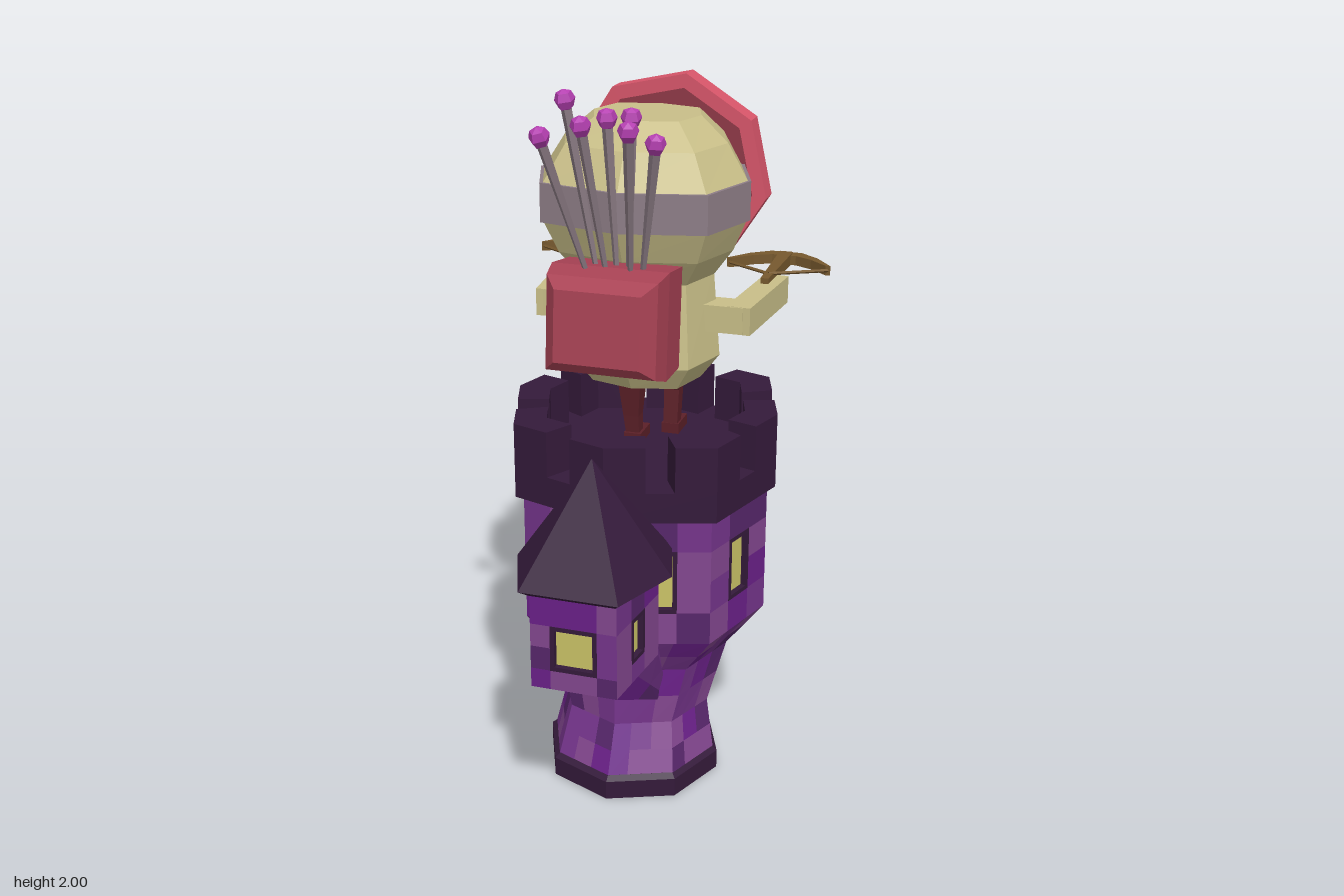
import * as THREE from 'three';

const V = (x, y, z) => new THREE.Vector3(x, y, z);
const mat = (color) => new THREE.MeshStandardMaterial({ color, flatShading: true, side: THREE.DoubleSide });
const DARK = mat(0x341a3a), CREAM = mat(0xc8be88), BAND = mat(0x8d7d86), RED = mat(0xa84254);
const PINK = mat(0xd8566a), MAROON = mat(0x8f3947), LEG = mat(0x5c2028), WOOD = mat(0x76582e);
const PANE = mat(0xc9c266), TIP = mat(0xb640b2);
const STONES = [0x6a2088, 0x82468e, 0x56266a, 0x74348a].map(mat);
const X0 = 0.006, TZ = -0.09, SQ = Math.SQRT2;

let seed = 11;
const rand = () => (seed = (seed * 16807) % 2147483647) / 2147483647;

function add(parent, name, geometry, material, x = 0, y = 0, z = 0) {
  const m = new THREE.Mesh(geometry, material);
  m.name = name;
  m.position.set(x, y, z);
  parent.add(m);
  return m;
}

// Horizontal polygon; "diag" pushes every second corner outwards
function ring(n, y, rx, rz = rx, zc = 0, xc = 0, phase = 0, diag = 1) {
  return Array.from({ length: n }, (_, i) => {
    const a = phase + (i * 2 * Math.PI) / n, k = i % 2 ? diag : 1;
    return V(xc + k * rx * Math.sin(a), y, zc + k * rz * Math.cos(a));
  });
}

function triangles(points) {
  const g = new THREE.BufferGeometry().setFromPoints(points);
  g.computeVertexNormals();
  return g;
}

// Closed solid through a stack of rings
function loft(rings) {
  const p = [], n = rings[0].length, last = rings.length - 1;
  for (let r = 0; r < last; r++) for (let i = 0; i < n; i++) {
    const j = (i + 1) % n, a = rings[r], b = rings[r + 1];
    p.push(a[i], a[j], b[j], a[i], b[j], b[i]);
  }
  for (let i = 1; i < n - 1; i++) {
    p.push(rings[0][0], rings[0][i + 1], rings[0][i]);
    p.push(rings[last][0], rings[last][i], rings[last][i + 1]);
  }
  return triangles(p);
}

// Stone courses between two rings, in mixed shades; hole(face) gives the width of an opening
function stones(parent, name, lower, upper, rows, cols, hole = () => 0) {
  const sets = STONES.map(() => []), n = lower.length;
  for (let f = 0; f < n; f++) {
    const g = (f + 1) % n, half = hole(f) / lower[f].distanceTo(lower[g]) / 2;
    const at = (u, v) => lower[f].clone().lerp(lower[g], u).lerp(upper[f].clone().lerp(upper[g], u), v);
    const us = half ? [0, 0.5 - half, 0.5 + half, 1] : cols;
    for (let r = 0; r < rows.length - 1; r++) for (let c = 0; c < us.length - 1; c++) {
      const shade = Math.floor(rand() * STONES.length);
      if (half && c === 1 && r > 0 && r < rows.length - 2) continue;
      const [a, b, d, e] = [at(us[c], rows[r]), at(us[c + 1], rows[r]), at(us[c + 1], rows[r + 1]), at(us[c], rows[r + 1])];
      sets[shade].push(a, b, d, a, d, e);
    }
  }
  sets.forEach((s, i) => s.length && add(parent, name, triangles(s), STONES[i]));
}

// Recessed window with a dark frame, centred on face f of a ring
function windowAt(parent, corners, f, y, w, h) {
  const a = corners[f], b = corners[(f + 1) % corners.length];
  const g = new THREE.Group(), t = 0.012;
  g.name = 'window';
  for (const s of [-1, 1]) {
    add(g, 'windowFrame', new THREE.BoxGeometry(t, h, 0.03), DARK, s * (w - t) / 2, 0, -0.014);
    add(g, 'windowFrame', new THREE.BoxGeometry(w, t, 0.03), DARK, 0, s * (h - t) / 2, -0.014);
  }
  add(g, 'windowPane', new THREE.BoxGeometry(w, h, 0.01), PANE, 0, 0, -0.02);
  g.position.set((a.x + b.x) / 2, y, (a.z + b.z) / 2);
  g.rotation.y = Math.atan2(a.z - b.z, b.x - a.x);
  parent.add(g);
}

function buildTower(root) {
  const t = new THREE.Group();
  t.name = 'tower';
  root.add(t);
  const oct = (y, r, z, diag = 1) => ring(8, y, r, r, z, X0, 0, diag);
  add(t, 'plinth', loft([oct(0, 0.255, 0.026), oct(0.055, 0.255, 0.026), oct(0.067, 0.24, 0.024)]), DARK);
  const rings = [oct(0.06, 0.243, 0.024), oct(0.2, 0.213, -0.01), oct(0.37, 0.255, -0.058, 1.04),
    oct(0.49, 0.354, TZ, 1.07), oct(0.87, 0.354, TZ, 1.07)];
  for (let i = 0; i < 3; i++) stones(t, 'towerStem', rings[i], rings[i + 1], [0, 0.5, 1], [0, 0.3, 0.65, 1]);
  stones(t, 'towerWall', rings[3], rings[4], [0, 0.25, 0.5, 0.735, 1], null, () => 0.099);
  for (let i = 0; i < 8; i++) windowAt(t, rings[3], i, 0.677, 0.099, 0.186);

  // Battlement: solid collar with a merlon wrapped round each corner
  add(t, 'collar', loft([oct(0.865, 0.377, TZ, 1.07), oct(0.95, 0.377, TZ, 1.07)]), DARK);
  const outer = oct(0, 0.377, TZ, 1.07), inner = oct(0, 0.285, TZ, 1.07);
  const wrap = (r, i) => [r[i].clone().lerp(r[(i + 7) % 8], 0.37), r[i], r[i].clone().lerp(r[(i + 1) % 8], 0.37)];
  for (let i = 0; i < 8; i++) {
    const plan = [...wrap(outer, i), ...wrap(inner, i).reverse()].map((p) => new THREE.Vector2(p.x, -p.z));
    const geo = new THREE.ExtrudeGeometry(new THREE.Shape(plan), { depth: 0.14, bevelEnabled: false });
    add(t, 'merlon', geo.rotateX(-Math.PI / 2), DARK, 0, 0.94, 0);
  }
}

function buildTurret(root) {
  const t = new THREE.Group();
  t.name = 'turret';
  root.add(t);
  // Six-sided plan from [half width, z] at the front, middle and back
  const hex = (y, front, mid, back) => [[1, front], [1, mid], [1, back], [-1, back], [-1, mid], [-1, front]]
    .map(([s, [x, z]]) => V(X0 + s * x, y, z));
  const foot = hex(0.28, [0.115, 0.165], [0.115, 0.08], [0.08, 0.02]);
  const low = hex(0.49, [0.118, 0.535], [0.15, 0.275], [0.1, 0.12]);
  const high = low.map((p) => V(p.x, 0.77, p.z));
  stones(t, 'turretCorbel', foot, low, [0, 0.5, 1], [0, 0.5, 1]);
  const widths = { 5: 0.128, 0: 0.08, 4: 0.08 };
  stones(t, 'turretWall', low, high, [0, 0.196, 0.43, 0.66, 1], [0, 0.5, 1], (f) => widths[f] || 0);
  for (const f of [0, 4, 5]) windowAt(t, low, f, 0.61, widths[f], 0.13);
  add(t, 'turretRoof', loft([hex(0.76, [0.118, 0.545], [0.185, 0.37], [0.145, 0.22]),
    hex(0.78, [0.134, 0.572], [0.214, 0.37], [0.165, 0.2]), hex(1.085, [0.001, 0.376], [0.001, 0.375], [0.001, 0.374])]), DARK);
}

function buildFigure(root) {
  const f = new THREE.Group();
  f.name = 'figure';
  root.add(f);
  const o = (y, rx, rz, z) => ring(8, y, rx, rz, z, 0, 0, 1.1);
  add(f, 'body', loft([o(1.155, 0.155, 0.15, -0.12), o(1.225, 0.208, 0.193, -0.118), o(1.47, 0.187, 0.165, -0.12)]), CREAM);
  add(f, 'head', loft([o(1.455, 0.19, 0.165, -0.115), o(1.53, 0.245, 0.205, -0.1), o(1.62, 0.284, 0.232, -0.088),
    o(1.72, 0.284, 0.232, -0.088), o(1.815, 0.225, 0.188, -0.1), o(1.88, 0.148, 0.128, -0.115)]), CREAM);
  add(f, 'headBand', loft([o(1.617, 0.292, 0.24, -0.088), o(1.722, 0.292, 0.24, -0.088)]), BAND);

  // Legs, one planted and one kicked back
  const r4 = (x, y, z, r) => ring(4, y, r * SQ, r * SQ, z, x, Math.PI / 4);
  add(f, 'plantedLeg', loft([r4(-0.03, 0.945, -0.105, 0.018), r4(-0.035, 1.03, -0.1, 0.022), r4(-0.036, 1.17, -0.095, 0.036)]), LEG);
  add(f, 'plantedFoot', new THREE.BoxGeometry(0.05, 0.03, 0.09), LEG, -0.03, 0.965, -0.12);
  add(f, 'kickedLeg', loft([r4(0.05, 0.96, -0.2, 0.02), r4(0.05, 1.08, -0.215, 0.022), r4(0.048, 1.17, -0.15, 0.034)]), LEG);
  add(f, 'kickedFoot', new THREE.BoxGeometry(0.05, 0.03, 0.09), LEG, 0.05, 0.965, -0.225);

  // Bent arms, each holding a crossbow
  for (const s of [-1, 1]) {
    add(f, 'upperArm', new THREE.BoxGeometry(0.12, 0.075, 0.08), CREAM, s * 0.225, 1.345, -0.1);
    const arm = add(f, 'forearm', new THREE.BoxGeometry(0.068, 0.077, 0.33), CREAM, s * 0.286, 1.345, -0.228);
    arm.rotation.y = -s * 0.09;
    const bow = buildCrossbow();
    bow.position.set(s * 0.287, 1.387, 0);
    f.add(bow);
  }
}

function buildCrossbow() {
  const g = new THREE.Group();
  g.name = 'crossbow';
  // Curved limbs drawn in plan, with y standing for -z
  const s = new THREE.Shape();
  const outer = [[-0.152, 0.465], [-0.1, 0.533], [-0.045, 0.575], [0.045, 0.575], [0.1, 0.533], [0.152, 0.465]];
  const inner = [[0.138, 0.465], [0.085, 0.512], [0.035, 0.538], [-0.035, 0.538], [-0.085, 0.512], [-0.138, 0.465]];
  s.setFromPoints([...inner, ...outer].map(([x, y]) => new THREE.Vector2(x, y)));
  add(g, 'bowLimbs', new THREE.ExtrudeGeometry(s, { depth: 0.028, bevelEnabled: false }).rotateX(-Math.PI / 2), WOOD, 0, -0.014, 0);
  const stock = loft([ring(4, -0.57, 0.028, 0.024, 0, 0, Math.PI / 4), ring(4, -0.295, 0.016, 0.018, 0, 0, Math.PI / 4)]);
  add(g, 'stock', stock.rotateX(Math.PI / 2), WOOD);
  for (const k of [-1, 1]) {
    const path = new THREE.LineCurve3(V(k * 0.145, 0, -0.467), V(0, 0.012, -0.345));
    add(g, 'bowString', new THREE.TubeGeometry(path, 1, 0.005, 4), WOOD);
  }
  return g;
}

function buildButton(root) {
  const g = new THREE.Group();
  g.name = 'buttonShield';
  const poly = (r) => Array.from({ length: 8 }, (_, i) => {
    const a = 0.175 + i * Math.PI / 4;
    return new THREE.Vector2(r * Math.sin(a), r * Math.cos(a));
  });
  const rim = new THREE.Shape(poly(0.285));
  rim.holes.push(new THREE.Path(poly(0.245)));
  add(g, 'buttonRim', new THREE.ExtrudeGeometry(rim, { depth: 0.067, bevelEnabled: false }), PINK, 0, 0, -0.0335);
  const disc = new THREE.Shape(poly(0.25));
  for (const [x, y] of [[-1, -1], [1, -1], [1, 1], [-1, 1]]) {
    const hole = new THREE.Path();
    hole.setFromPoints(Array.from({ length: 6 }, (_, i) =>
      new THREE.Vector2(x * 0.05 + 0.022 * Math.cos(i * Math.PI / 3), y * 0.05 + 0.022 * Math.sin(i * Math.PI / 3))));
    disc.holes.push(hole);
  }
  add(g, 'buttonFace', new THREE.ExtrudeGeometry(disc, { depth: 0.03, bevelEnabled: false }), MAROON, 0, 0, -0.012);
  add(g, 'buttonBacking', new THREE.BoxGeometry(0.17, 0.17, 0.008), LEG, 0, 0, 0.02);
  g.position.set(0, 1.67, -0.345);
  root.add(g);
}

function buildQuiver(root) {
  const g = new THREE.Group();
  g.name = 'quiver';
  root.add(g);
  // Chamfered pack, lofted from back to front
  const r = (z, w, h) => ring(4, z, w * SQ, h * SQ, 0, 0, Math.PI / 4);
  const pack = loft([r(-0.14, 0.135, 0.08), r(-0.09, 0.155, 0.135), r(0.035, 0.158, 0.142), r(0.1, 0.148, 0.125), r(0.138, 0.115, 0.095)]);
  add(g, 'pack', pack.rotateX(Math.PI / 2), RED, 0, 1.398, 0.178).rotation.x = -0.09;
  // Pins fanning out of the pack
  const tips = [[-0.1, 1.97, 0.245], [-0.115, 1.905, 0.385], [-0.03, 1.925, 0.33], [0, 1.925, 0.22],
    [0.063, 1.93, 0.22], [0.1, 1.925, 0.36], [0.148, 1.885, 0.295]];
  for (const [x, y, z] of tips) {
    const base = V(x * 0.5, 1.5, 0.14 + (z - 0.2) * 0.3), tip = V(x, y, z);
    const dir = tip.clone().sub(base), mid = base.clone().lerp(tip, 0.5);
    const shaft = add(g, 'pinShaft', new THREE.CylinderGeometry(0.015, 0.007, dir.length(), 4), BAND, mid.x, mid.y, mid.z);
    shaft.quaternion.setFromUnitVectors(V(0, 1, 0), dir.normalize());
    const head = add(g, 'pinHead', new THREE.SphereGeometry(0.028, 5, 4), TIP, x, y, z);
    head.quaternion.copy(shaft.quaternion);
  }
}

export function createModel() {
  const root = new THREE.Group();
  root.name = 'towerArcher';
  [buildTower, buildTurret, buildFigure, buildButton, buildQuiver].forEach((build) => build(root));
  return root;
}
